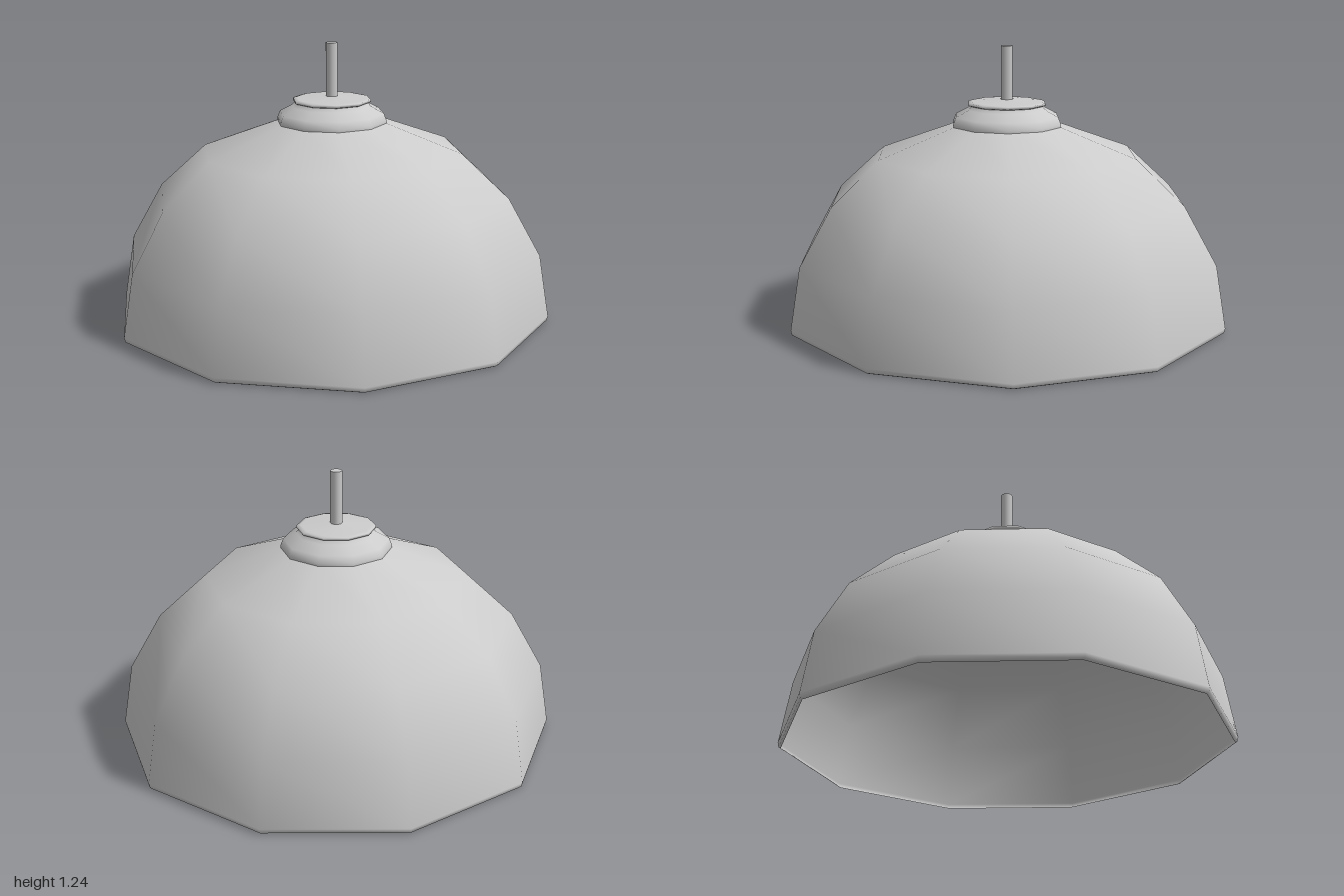
import * as THREE from 'three';

const material = new THREE.MeshStandardMaterial({ color: 0xcccccc, side: THREE.DoubleSide });
const SIDES = 10;

// Smooth ten-sided turned part from [radius, height] pairs, bottom to top
function turned(name, profile) {
  const points = profile.map(([r, y]) => new THREE.Vector2(r, y));
  const mesh = new THREE.Mesh(new THREE.LatheGeometry(points, SIDES), material);
  mesh.name = name;
  return mesh;
}

export function createModel() {
  const lamp = new THREE.Group();
  lamp.name = 'pendantLamp';

  // Open dome with a slightly tucked-in rim
  lamp.add(turned('shade', [
    [0.985, 0], [0.995, 0.005], [1, 0.025], [0.953, 0.305],
    [0.807, 0.56], [0.592, 0.755], [0.24, 0.885],
  ]));

  // Stepped collar on top of the dome
  lamp.add(turned('collar', [
    [0.25, 0.882], [0.25, 0.895], [0.238, 0.925], [0.18, 0.955], [0.165, 0.972],
  ]));

  // Shallow lid over the collar
  lamp.add(turned('lid', [
    [0.165, 0.97], [0.178, 0.975], [0.178, 0.985], [0.16, 0.989], [0, 1],
  ]));

  // Hanging rod
  const rod = new THREE.Mesh(new THREE.CylinderGeometry(0.027, 0.027, 0.245, SIDES), material);
  rod.name = 'rod';
  rod.position.y = 1.1135;
  lamp.add(rod);

  // The whole lamp is a touch narrower across x
  lamp.scale.x = 0.983;

  const model = new THREE.Group();
  model.add(lamp);
  return model;
}
